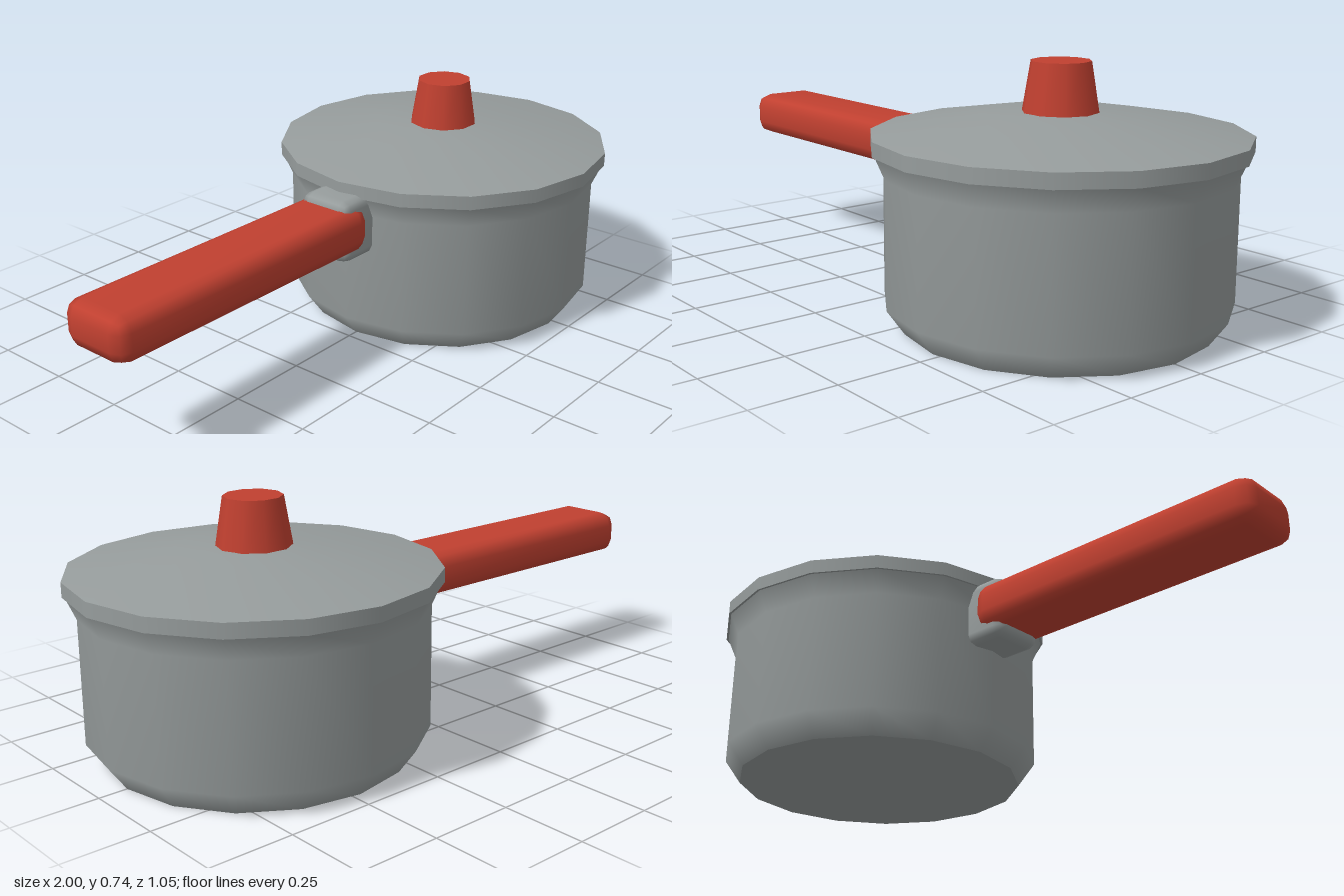
import * as THREE from 'three';
import { mergeVertices } from 'three/addons/utils/BufferGeometryUtils.js';
import { RoundedBoxGeometry } from 'three/addons/geometries/RoundedBoxGeometry.js';

const SIDES = 16;
const POT_X = 0.475;

export function createModel() {
  const model = new THREE.Group();
  model.name = 'saucepan';

  const steel = new THREE.MeshStandardMaterial({ color: 0x969c9c });
  steel.name = 'steel grey';
  const red = new THREE.MeshStandardMaterial({ color: 0xc04030 });
  red.name = 'handle red';

  function add(parent, name, geometry, material, x = 0, y = 0, z = 0) {
    const mesh = new THREE.Mesh(geometry, material);
    mesh.name = name;
    mesh.position.set(x, y, z);
    parent.add(mesh);
    return mesh;
  }

  // Revolved section; profile runs so that its outside faces outwards
  const lathe = (profile) =>
    new THREE.LatheGeometry(profile.map(([r, y]) => new THREE.Vector2(r, y)), SIDES);

  // Box with a single chamfer on every edge and normals smoothed over it
  function chamferedBox(w, h, d, chamfer) {
    const g = new RoundedBoxGeometry(w, h, d, 1, chamfer);
    g.deleteAttribute('normal');
    g.deleteAttribute('uv');
    const smooth = mergeVertices(g, 1e-4);
    smooth.computeVertexNormals();
    return smooth;
  }

  // Pot: flat base, and a wall with a bevelled foot and flared lip
  const pot = new THREE.Group();
  pot.name = 'pot';
  pot.position.x = POT_X;
  model.add(pot);
  add(pot, 'base', lathe([[0, 0], [0.44, 0]]), steel);
  add(pot, 'wall', lathe([[0.44, 0], [0.49, 0.07], [0.49, 0.43], [0.518, 0.495]]), steel);

  // Lid: underside, upright rim and shallow dome, creased between them
  const lid = new THREE.Group();
  lid.name = 'lid';
  lid.position.x = POT_X;
  model.add(lid);
  add(lid, 'lidUnderside', lathe([[0, 0.495], [0.525, 0.495]]), steel);
  add(lid, 'lidRim', lathe([[0.525, 0.495], [0.525, 0.537]]), steel);
  add(lid, 'lidDome', lathe([[0.525, 0.537], [0.22, 0.591], [0, 0.6]]), steel);

  // Tapered ten-sided knob, with corners on the x axis
  const knob = add(lid, 'knob', new THREE.CylinderGeometry(0.084, 0.108, 0.145, 10), red, 0, 0.6625, 0);
  knob.rotation.y = Math.PI / 2;

  // Handle and the bracket joining it to the pot
  add(model, 'handleBracket', chamferedBox(0.175, 0.195, 0.176, 0.03), steel, -0.0375, 0.4075, 0);
  add(model, 'handle', chamferedBox(0.965, 0.136, 0.224, 0.042), red, -0.5175, 0.4125, 0);

  return model;
}
